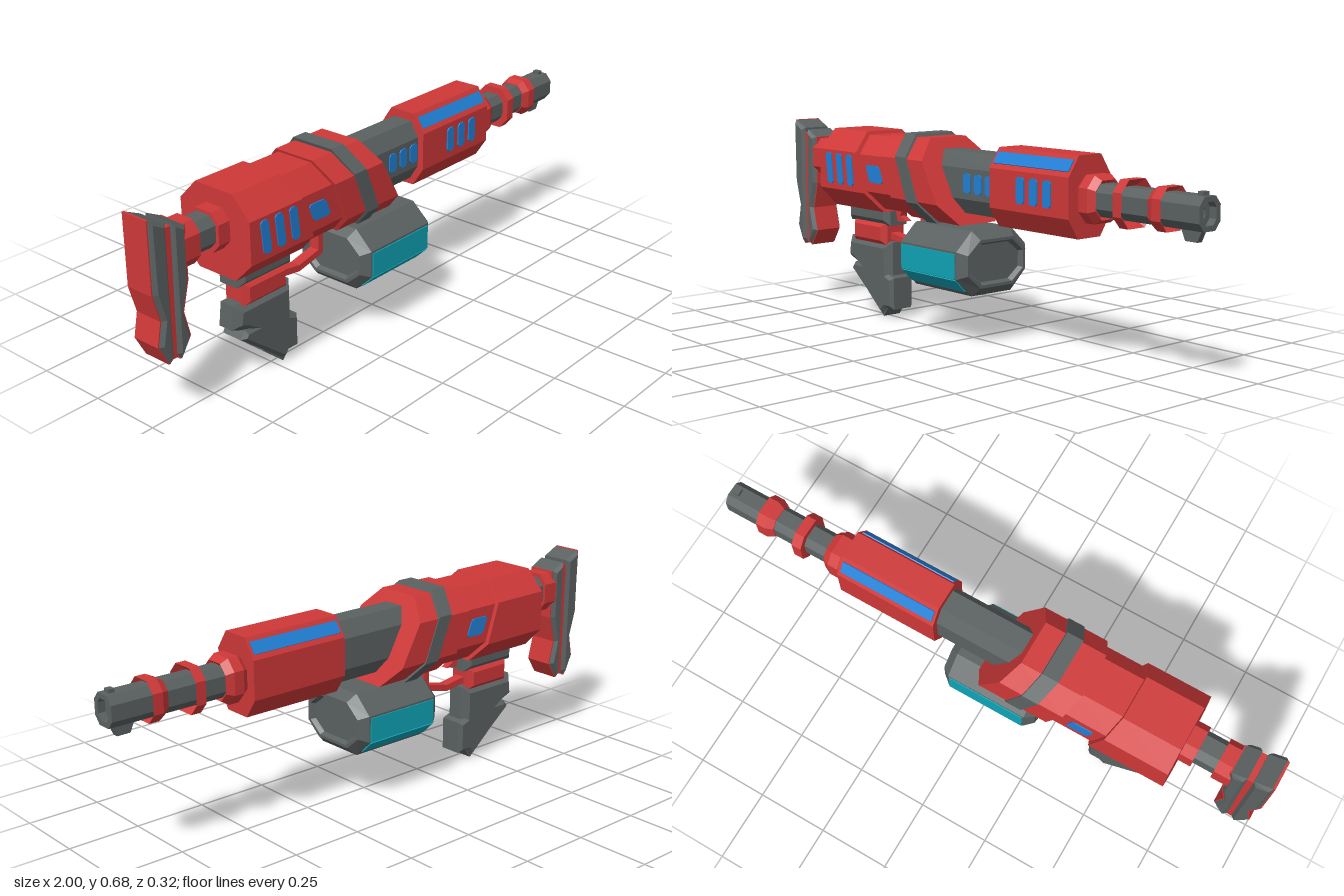
import * as THREE from 'three';

const mat = (name, color, flat = true) => {
  const m = new THREE.MeshStandardMaterial({ color });
  m.name = name;
  m.flatShading = flat;
  return m;
};

export function createModel() {
  const red = mat('red', 0xcf3838), grey = mat('grey', 0x5b6161);
  const blue = mat('blue', 0x2180d6), teal = mat('teal', 0x10a4b6);
  const root = new THREE.Group();
  const CY = 0.53, CZ = -0.01;

  const add = (name, geo, material, parent = root) => {
    const m = new THREE.Mesh(geo, material);
    m.name = name;
    parent.add(m);
    return m;
  };

  // Octagonal loft along x. Station: [x, halfHeight, halfWidth, slant]
  const loft = (stations, { cy = CY, cz = CZ, fy = 0.5, fz = 0.53 } = {}) => {
    const rings = stations.map(([x, h, w, k = 0]) =>
      [[1, -fy], [1, fy], [fz, 1], [-fz, 1], [-1, fy], [-1, -fy], [-fz, -1], [fz, -1]]
        .map(([u, v]) => [x - k * v * h, cy + v * h, cz - u * w]));
    const pos = [];
    const tri = (a, b, c) => pos.push(...a, ...b, ...c);
    for (let s = 0; s < rings.length - 1; s++) {
      const a = rings[s], b = rings[s + 1];
      for (let i = 0; i < 8; i++) {
        const j = (i + 1) % 8;
        tri(a[i], b[j], b[i]);
        tri(a[i], a[j], b[j]);
      }
    }
    const first = rings[0], last = rings[rings.length - 1];
    for (let i = 1; i < 7; i++) {
      tri(first[0], first[i + 1], first[i]);
      tri(last[0], last[i], last[i + 1]);
    }
    const g = new THREE.BufferGeometry();
    g.setAttribute('position', new THREE.Float32BufferAttribute(pos, 3));
    g.computeVertexNormals();
    return g;
  };

  // Side profile extruded across z, optionally with chamfered edges
  const slab = (pts, half, bevel = 0, cz = CZ) => {
    const shape = new THREE.Shape(pts.map(p => new THREE.Vector2(...p)));
    const g = new THREE.ExtrudeGeometry(shape, {
      depth: 2 * (half - bevel), bevelEnabled: bevel > 0, bevelSegments: 1,
      bevelSize: bevel, bevelThickness: bevel, bevelOffset: -bevel,
    });
    return g.translate(0, 0, cz - half + bevel);
  };
  const rect = (x0, x1, y0, y1) => [[x0, y0], [x1, y0], [x1, y1], [x0, y1]];

  // Small clipped-corner window; lean moves the top edge
  const windowPlate = (name, x0, x1, y0, y1, z, lean = 0) => {
    const c = 0.008, at = (x, y) => [x + lean * (y - y0) / (y1 - y0), y];
    add(name, slab([at(x0 + c, y0), at(x1 - c, y0), at(x1, y0 + c), at(x1, y1 - c),
      at(x1 - c, y1), at(x0 + c, y1), at(x0, y1 - c), at(x0, y0 + c)], 0.004, 0, z), blue);
  };

  // Receiver with slanted seams
  add('receiverRear', loft([[-0.7, 0.14, 0.145], [-0.455, 0.14, 0.145, 0.33]]), red);
  add('receiverMiddle', loft([[-0.47, 0.128, 0.13, 0.33], [-0.28, 0.128, 0.13, 0.4]]), red);
  add('receiverFront', loft([[-0.305, 0.137, 0.146, 0.4], [-0.0675, 0.14, 0.146, 0.55]]), red);
  add('receiverBand', loft([[-0.217, 0.15, 0.15, 0.4], [-0.16, 0.15, 0.15, 0.4]]), grey);

  // Barrel, foregrip and rings
  add('barrelShroud', loft([[-0.2, 0.103, 0.068], [0.2, 0.103, 0.068]]), grey);
  add('foregrip', loft([[0.17, 0.128, 0.09], [0.53, 0.128, 0.09]], { cy: 0.533 }), red);
  add('barrel', loft([[0.5, 0.05, 0.045], [1, 0.05, 0.045], [1, 0.034, 0.028],
    [0.975, 0.034, 0.028], [0.975, 0.016, 0.01], [0.94, 0.016, 0.01]]), grey);
  add('barrelRingRear', loft([[0.53, 0.06, 0.055], [0.55, 0.074, 0.067], [0.585, 0.074, 0.067],
    [0.61, 0.06, 0.055], [0.6, 0.05, 0.045]]), red);
  add('barrelRingMiddle', loft([[0.69, 0.073, 0.067], [0.725, 0.073, 0.067], [0.695, 0.05, 0.045]]), red);
  add('barrelRingFront', loft([[0.81, 0.053, 0.048], [0.835, 0.065, 0.06], [0.87, 0.065, 0.06],
    [0.85, 0.05, 0.045]]), red);
  add('muzzleLug', slab([[0.9, 0.49], [0.92, 0.445], [0.965, 0.445], [0.985, 0.49]], 0.01), grey);
  add('frontSight', slab(rect(0.965, 0.985, 0.57, 0.592), 0.012), grey);

  // Side windows
  for (let i = 0; i < 3; i++) {
    windowPlate('receiverWindow', -0.648 + i * 0.061, -0.615 + i * 0.061, 0.48, 0.59, 0.135, -0.012);
    windowPlate('shroudWindow', 0.018 + i * 0.054, 0.054 + i * 0.054, 0.5, 0.565, 0.058);
    windowPlate('foregripWindow', 0.3 + i * 0.06, 0.335 + i * 0.06, 0.495, 0.58, 0.081);
  }
  for (const s of [1, -1]) {
    windowPlate('slantedWindow', -0.415, -0.34, 0.5, 0.56, CZ + s * 0.13, -0.023);
    const stripe = add('foregripStripe', new THREE.BoxGeometry(0.34, 0.042, 0.008), blue);
    stripe.position.set(0.35, 0.629, CZ + s * 0.0685);
    stripe.rotation.x = -s * 0.584;
  }

  // Stock neck
  add('neckRear', loft([[-0.88, 0.07, 0.06], [-0.815, 0.07, 0.06]], { cy: 0.55 }), red);
  add('neck', loft([[-0.83, 0.052, 0.05], [-0.73, 0.052, 0.05]], { cy: 0.553 }), grey);
  add('neckCollar', loft([[-0.745, 0.065, 0.062], [-0.69, 0.065, 0.062]], { cy: 0.55 }), red);

  // Shoulder stock: two grey plates, a red core and red end strips
  const rearEdge = [[-0.996, 0.683], [-0.996, 0.45], [-0.971, 0.36], [-0.987, 0.28], [-0.95, 0.21]];
  const frontEdge = [[-0.864, 0.625], [-0.864, 0.45], [-0.888, 0.355], [-0.867, 0.27], [-0.906, 0.21]];
  add('stockRearPlate', slab([...rearEdge, [-0.935, 0.23], [-0.935, 0.655]], 0.062, 0.012), grey);
  add('stockFrontPlate', slab([...frontEdge, [-0.92, 0.23], [-0.915, 0.65]], 0.062, 0.012), grey);
  add('stockCore', slab(rect(-0.95, -0.9, 0.22, 0.64), 0.05), red);
  const strip = (edge, d) => edge.map(([x, y]) => [x + d, y])
    .concat(edge.slice().reverse().map(([x, y]) => [x - d, y]));
  add('stockRearStrip', slab(strip(rearEdge, 0.004), 0.05), red);
  add('stockFrontStrip', slab(strip(frontEdge, 0.004), 0.05), red);

  // Pistol grip
  add('gripMount', slab(rect(-0.66, -0.425, 0.335, 0.42), 0.055, 0.02), grey);
  add('gripCollar', slab(rect(-0.638, -0.446, 0.26, 0.345), 0.052, 0.018), red);
  add('gripUpper', slab([[-0.67, 0.275], [-0.68, 0.195], [-0.64, 0.18], [-0.44, 0.06],
    [-0.425, 0.13], [-0.425, 0.275]], 0.05, 0.024), grey);
  add('gripLower', slab([[-0.655, 0.155], [-0.47, 0.01], [-0.45, 0.033], [-0.405, 0.033],
    [-0.405, 0.147], [-0.5, 0.18], [-0.635, 0.18]], 0.05, 0.012), grey);
  add('gripHeel', slab([[-0.56, 0.075], [-0.47, 0], [-0.44, 0.04], [-0.5, 0.1]], 0.036), grey);

  // Trigger and guard
  add('trigger', slab([[-0.43, 0.41], [-0.415, 0.35], [-0.365, 0.356], [-0.398, 0.372],
    [-0.385, 0.41]], 0.012), red);
  add('triggerGuard', slab([[-0.455, 0.285], [-0.365, 0.273], [-0.255, 0.297], [-0.25, 0.41],
    [-0.275, 0.41], [-0.275, 0.315], [-0.365, 0.295], [-0.455, 0.308]], 0.018), red);

  // Drum magazine with bevelled, recessed ends
  add('drum', loft([[-0.205, 0.062, 0.105], [-0.22, 0.07, 0.115], [-0.22, 0.08, 0.125],
    [-0.19, 0.1075, 0.15], [0.1, 0.1075, 0.15], [0.13, 0.08, 0.125], [0.13, 0.07, 0.115],
    [0.115, 0.062, 0.105]], { cy: 0.2775, cz: 0.01, fy: 0.42, fz: 0.57 }), grey);
  for (const s of [1, -1]) {
    const side = add('drumWindowSide', new THREE.BoxGeometry(0.28, 0.083, 0.008), teal);
    side.position.set(-0.045, 0.2745, 0.01 + s * 0.15);
    const low = add('drumWindowLower', new THREE.BoxGeometry(0.28, 0.06, 0.008), teal);
    low.position.set(-0.045, 0.2095, 0.01 + s * 0.1265);
    low.rotation.x = s * 0.79;
  }

  return root;
}
